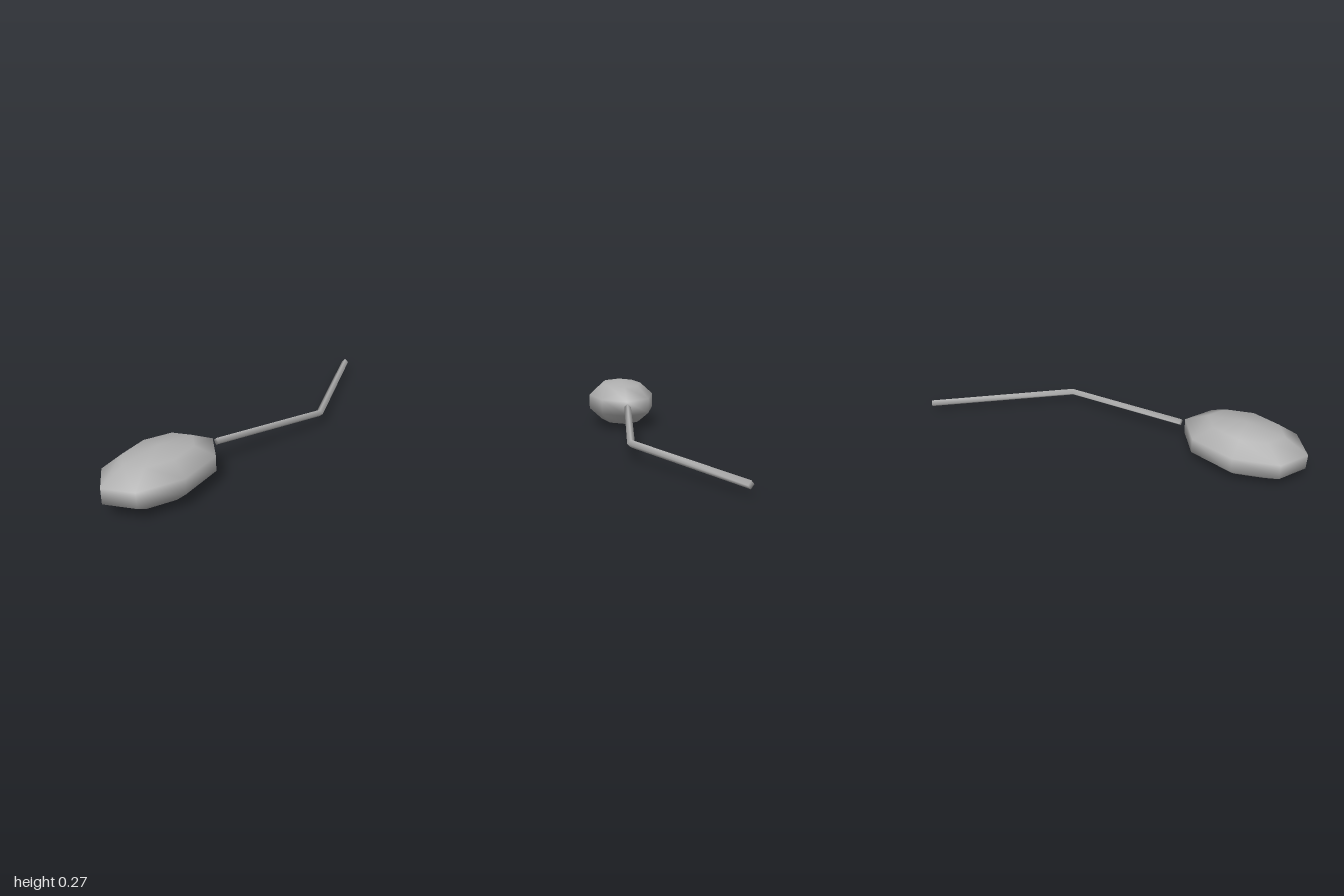
import * as THREE from 'three';

const gray = new THREE.MeshStandardMaterial({ color: 0xb0b0b0, side: THREE.DoubleSide });
gray.name = 'gray';

// Four-sided rod through the given points, mitred at the bend and closed at both ends
function bentRod(points, radius, sides = 4) {
  const pos = [], index = [];
  const up = new THREE.Vector3(0, 1, 0);
  const last = points.length - 1;
  points.forEach((p, i) => {
    const before = points[Math.max(i - 1, 0)], after = points[Math.min(i + 1, last)];
    const inDir = p.clone().sub(before).normalize();
    const outDir = after.clone().sub(p).normalize();
    const dir = inDir.clone().add(outDir).normalize();
    const side = new THREE.Vector3().crossVectors(dir, up).normalize();
    const top = new THREE.Vector3().crossVectors(side, dir);
    const mitre = i > 0 && i < last ? 1 / dir.dot(inDir) : 1;
    for (let k = 0; k < sides; k++) {
      const a = (k / sides) * Math.PI * 2;
      const v = p.clone()
        .addScaledVector(side, Math.cos(a) * radius * mitre)
        .addScaledVector(top, Math.sin(a) * radius);
      pos.push(v.x, v.y, v.z);
    }
  });
  for (let i = 0; i < last; i++) {
    for (let k = 0; k < sides; k++) {
      const a = i * sides + k, b = i * sides + (k + 1) % sides;
      index.push(a, b, a + sides, b, b + sides, a + sides);
    }
  }
  // End caps
  const end = last * sides;
  for (let k = 1; k < sides - 1; k++) {
    index.push(0, k + 1, k, end, end + k, end + k + 1);
  }
  const geo = new THREE.BufferGeometry();
  geo.setAttribute('position', new THREE.Float32BufferAttribute(pos, 3));
  geo.setIndex(index);
  geo.computeVertexNormals();
  return geo;
}

export function createModel() {
  const model = new THREE.Group();
  model.name = 'model';

  // Stretched low-poly body with smooth shading
  const body = new THREE.Mesh(new THREE.SphereGeometry(1, 8, 5), gray);
  body.name = 'body';
  body.scale.set(0.2, 0.1335, 0.333);
  body.position.set(0.08, 0.1345, 0.683);
  model.add(body);

  // Long bent tail behind the body
  const tail = new THREE.Mesh(bentRod([
    new THREE.Vector3(0.08, 0.15, 0.345),
    new THREE.Vector3(0.145, 0.087, -0.325),
    new THREE.Vector3(-0.255, 0.05, -0.99),
  ], 0.019), gray);
  tail.name = 'tail';
  model.add(tail);

  return model;
}
